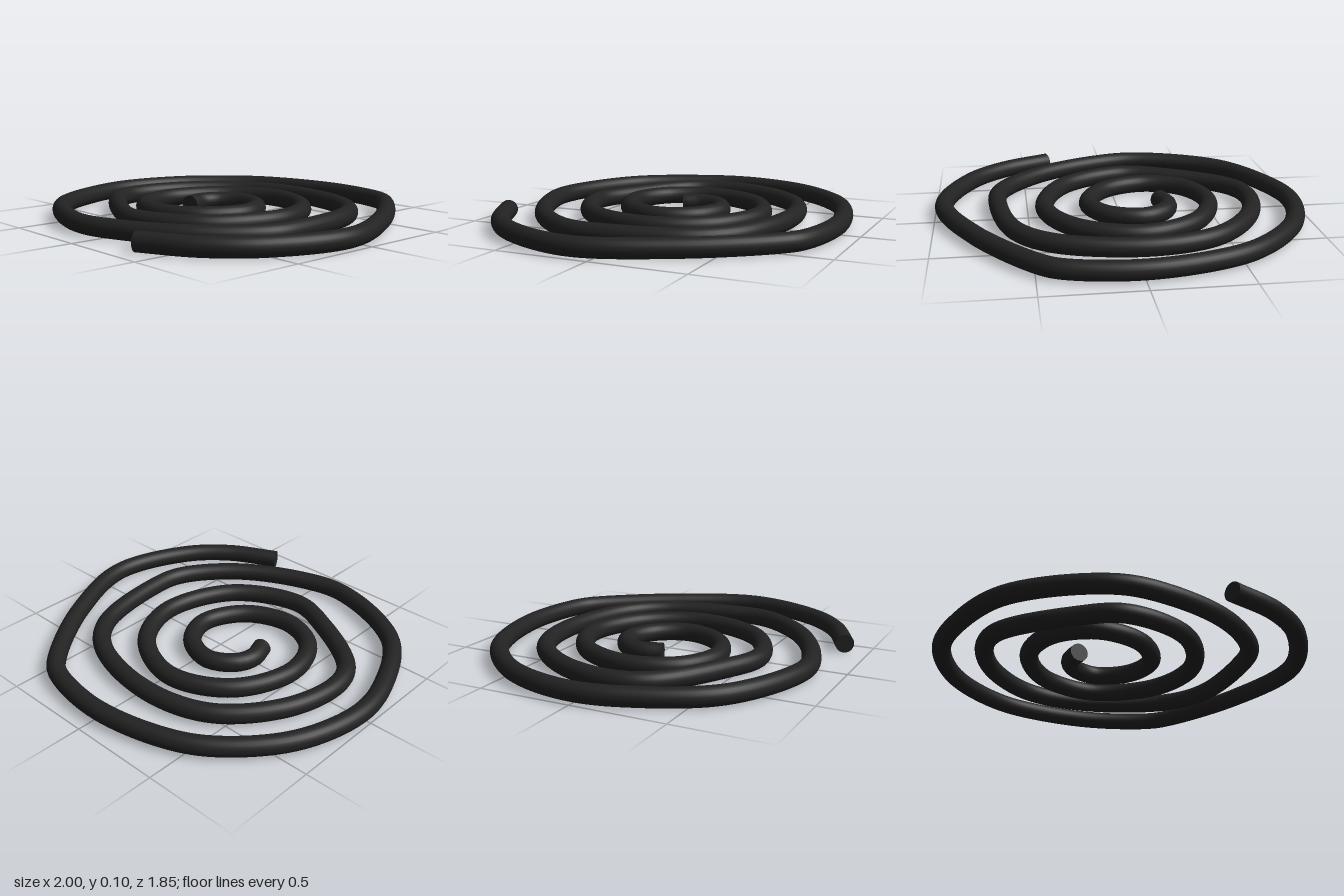
import * as THREE from 'three';

const RADIUS = 0.05;

// Centre line of the coil as [x, z], from the inner end outwards
const PATH = [
  // innermost turn
  [-0.23, 0.08], [-0.26, -0.03], [-0.22, -0.13], [-0.09, -0.2], [0.09, -0.13],
  [0.17, 0.05], [0.06, 0.27], [-0.18, 0.36], [-0.4, 0.26],
  // second turn
  [-0.49, 0.01], [-0.36, -0.3], [-0.06, -0.44], [0.27, -0.3], [0.41, 0.01],
  [0.27, 0.39], [-0.08, 0.56], [-0.34, 0.47], [-0.67, 0.24],
  // third turn
  [-0.73, 0.06], [-0.66, -0.24], [-0.42, -0.52], [-0.07, -0.61], [0.38, -0.51],
  [0.57, -0.32], [0.66, 0.11], [0.64, 0.32], [0.43, 0.59], [0.09, 0.78],
  [-0.2, 0.83], [-0.68, 0.62], [-0.9, 0.24],
  // outer turn
  [-0.95, -0.04], [-0.85, -0.4], [-0.6, -0.69], [-0.37, -0.81], [0.02, -0.88],
  [0.38, -0.82], [0.49, -0.74], [0.78, -0.34], [0.95, 0.12], [0.81, 0.54],
  [0.62, 0.74], [0.35, 0.88],
];

export function createModel() {
  const group = new THREE.Group();
  group.name = 'spiralCoil';
  const material = new THREE.MeshStandardMaterial({ color: 0x222222 });

  const curve = new THREE.CatmullRomCurve3(
    PATH.map(([x, z]) => new THREE.Vector3(x, RADIUS, z)), false, 'centripetal');

  // Round rod wound along the spiral
  const coil = new THREE.Mesh(new THREE.TubeGeometry(curve, 400, RADIUS, 24), material);
  coil.name = 'coil';
  group.add(coil);

  // Flat discs closing both ends, facing outwards
  [['innerEnd', 0, -1], ['outerEnd', 1, 1]].forEach(([name, t, sign]) => {
    const cap = new THREE.Mesh(new THREE.CircleGeometry(RADIUS, 24), material);
    cap.name = name;
    cap.position.copy(curve.getPointAt(t));
    cap.lookAt(cap.position.clone().addScaledVector(curve.getTangentAt(t), sign));
    group.add(cap);
  });

  return group;
}
